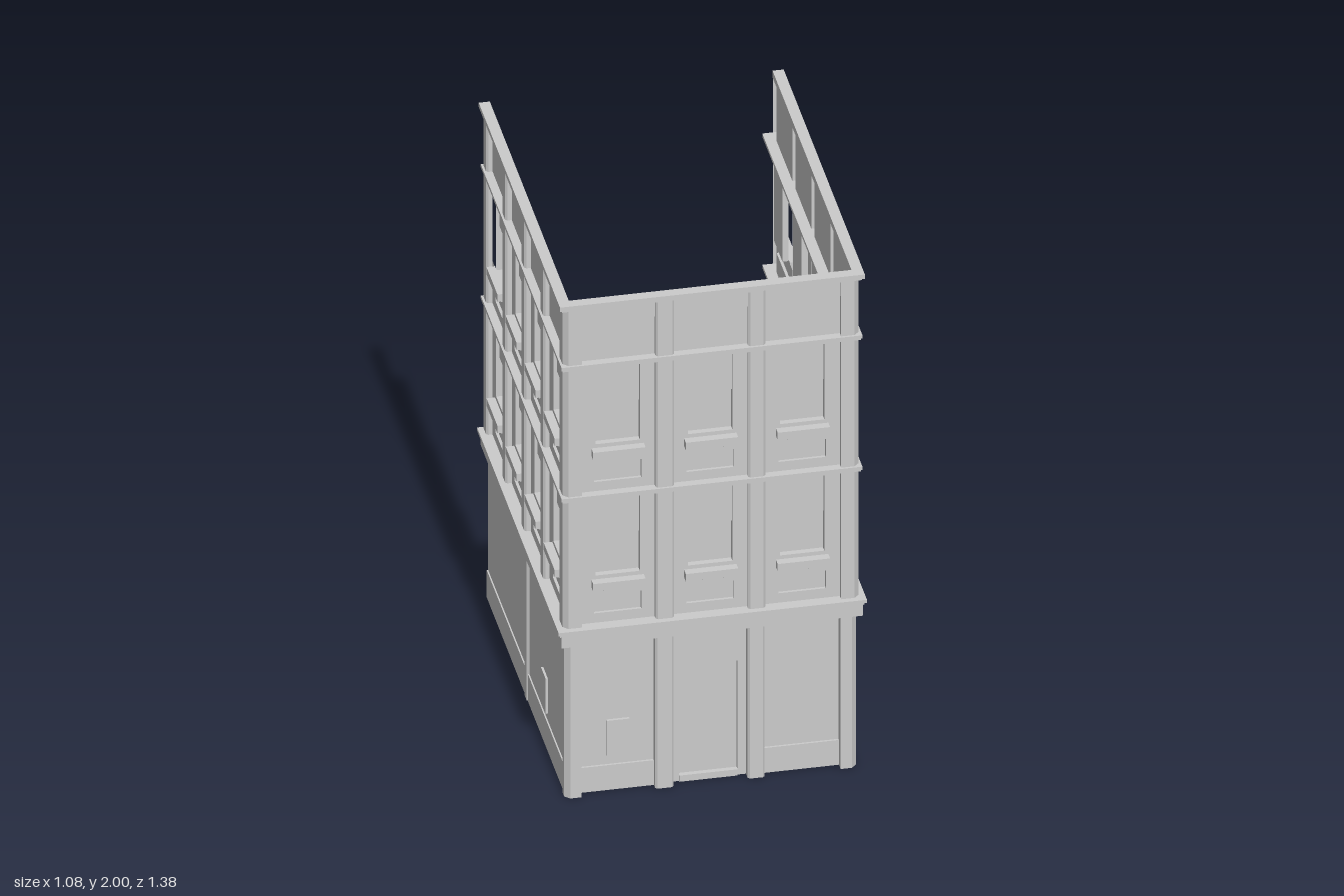
import * as THREE from 'three';

const mat = new THREE.MeshStandardMaterial({ color: 0xcccccc, flatShading: true, side: THREE.DoubleSide });
const D = 0.146;        // front offset relative to the side offset
const BACK = -0.69;     // open rear end
const BAY = -0.022;     // bay wall depth behind the pilaster faces

function add(parent, geo, name) {
  const m = new THREE.Mesh(geo, mat);
  m.name = name;
  parent.add(m);
  return m;
}

// box given by its limits; one face can be left open ('front' or 'back')
function box(parent, name, u0, u1, y0, y1, w0, w1, open) {
  const g = new THREE.BoxGeometry(u1 - u0, y1 - y0, w1 - w0);
  const idx = Array.from(g.index.array);
  if (open) {
    idx.splice(open === 'front' ? 24 : 30, 6);
    g.setIndex(idx);
    g.clearGroups();
  }
  g.translate((u0 + u1) / 2, (y0 + y1) / 2, (w0 + w1) / 2);
  return add(parent, g, name);
}

// vertical sheet following a plan polyline
function strip(parent, name, pts, y0, y1) {
  const pos = [];
  for (let i = 0; i < pts.length - 1; i++) {
    const [a, b] = pts[i], [c, d] = pts[i + 1];
    pos.push(a, y0, b, c, y0, d, c, y1, d, a, y0, b, c, y1, d, a, y1, b);
  }
  const g = new THREE.BufferGeometry();
  g.setAttribute('position', new THREE.Float32BufferAttribute(pos, 3));
  g.computeVertexNormals();
  return add(parent, g, name);
}

// wall sheet with rectangular holes [u0, u1, y0, y1]
function wall(parent, name, u0, u1, y0, y1, w, holes = []) {
  const rect = (P, a, b, c, d) => new P([[a, c], [b, c], [b, d], [a, d]].map(p => new THREE.Vector2(...p)));
  const s = rect(THREE.Shape, u0, u1, y0, y1);
  for (const h of holes) s.holes.push(rect(THREE.Path, ...h));
  return add(parent, new THREE.ShapeGeometry(s).translate(0, 0, w), name);
}

// U-shaped solid band around the three walls
function band(parent, name, d0, d1, y0, y1) {
  const s = new THREE.Shape([[-d1, BACK], [-d1, d1 + D], [d1, d1 + D], [d1, BACK],
    [d0, BACK], [d0, d0 + D], [-d0, d0 + D], [-d0, BACK]].map(([x, z]) => new THREE.Vector2(x, -z)));
  const g = new THREE.ExtrudeGeometry(s, { depth: y1 - y0, bevelEnabled: false });
  g.rotateX(-Math.PI / 2).translate(0, y0, 0);
  return add(parent, g, name);
}

function pilaster(parent, u0, u1, y0, y1, back, face) {
  const c = 0.007;
  strip(parent, 'pilaster', [[u0, back], [u0, face - c], [u0 + c, face], [u1 - c, face], [u1, face - c], [u1, back]], y0, y1);
}

// recessed sash window, sill with dentils, and sunk panel underneath
function windowUnit(parent, c, hw, base, tall) {
  const g = new THREE.Group();
  g.name = 'window';
  parent.add(g);
  const y0 = base + (tall ? 0.17 : 0.19), y1 = base + (tall ? 0.51 : 0.495), mid = base + 0.345;
  box(g, 'windowRecess', c - hw, c + hw, y0, y1, BAY - 0.022, BAY, 'front');
  box(g, 'upperSash', c - hw, c + hw, mid, y1, BAY - 0.022, BAY - 0.012, 'back');
  box(g, 'sill', c - 0.092, c + 0.092, base + 0.145, base + 0.175, BAY, 0.008);
  for (let i = -3; i <= 3; i++)
    box(g, 'dentil', c + i * 0.024 - 0.005, c + i * 0.024 + 0.005, base + 0.133, base + 0.145, BAY, BAY + 0.014);
  box(g, 'sunkPanel', c - 0.083, c + 0.083, base + 0.038, base + 0.11, BAY - 0.01, BAY, 'front');
}

// upper three storeys of one face; gap = index of the bay with missing wall beside its window
function upperFace(face, bays, hw, gap, blocks) {
  bays.forEach(([a, b], i) => {
    const c = (a + b) / 2;
    for (const base of [0.69, 1.22]) {
      const broken = base > 1 && i === gap;
      const holes = [[c - 0.083, c + 0.083, base + 0.038, base + 0.11]];
      if (!broken) holes.push([c - hw, c + hw, base + 0.19, base + 0.495]);
      wall(face, 'bayWall', a, b, base, base + (broken ? 0.17 : 0.51), BAY, holes);
      windowUnit(face, c, hw, base, broken);
    }
    wall(face, 'parapetWall', a, b, 1.75, 1.975, BAY);
    box(face, 'parapetHeader', a, b, 1.905, 1.975, BAY, BAY + 0.008, 'back');
    if (blocks) for (const o of [-0.055, 0.055])
      box(face, 'corniceBlock', c + o - 0.016, c + o + 0.016, 1.962, 1.975, BAY, 0.004);
  });
}

function frontFace() {
  const f = new THREE.Group();
  f.name = 'frontFace';
  f.position.z = 0.52 + D;
  const bays = [[-0.455, -0.195], [-0.13, 0.13], [0.19, 0.455]];
  upperFace(f, bays, 0.078, -1, false);
  // street level, set deeper
  const w = -0.045;
  for (const [a, b] of [[-0.195, -0.13], [0.13, 0.19]]) {
    pilaster(f, a, b, 0.69, 1.975, BAY, 0);
    pilaster(f, a, b, 0, 0.62, w, -0.01);
  }
  for (const [a, b] of [bays[0], bays[2]]) {
    wall(f, 'streetWall', a, b, 0, 0.675, w);
    box(f, 'plinth', a, b, 0, 0.1, w, w + 0.008, 'back');
  }
  wall(f, 'doorWall', ...bays[1], 0, 0.675, w, [[-0.105, 0.1, 0.025, 0.46]]);
  box(f, 'door', -0.105, 0.1, 0.025, 0.46, w - 0.012, w, 'front');
  box(f, 'doorStep', -0.105, 0.1, 0, 0.025, w, w + 0.006, 'back');
  box(f, 'wallHatch', -0.36, -0.28, 0.14, 0.28, w, w + 0.01, 'back');
  return f;
}

// side = 1 for +x, -1 for -x; z limits are listed front to back
function sideFace(side) {
  const f = new THREE.Group();
  f.name = side > 0 ? 'leftFace' : 'rightFace';
  f.position.x = side * 0.52;
  f.rotation.y = side * Math.PI / 2;
  const span = (a, b) => (side > 0 ? [-a, -b] : [b, a]);
  const bays = [[0.6, 0.33], [0.275, 0.01], [-0.045, -0.31], [-0.365, -0.635]].map(p => span(...p));
  upperFace(f, bays, 0.073, 3, true);
  for (const [a, b] of [[0.33, 0.275], [0.01, -0.045], [-0.31, -0.365], [-0.635, BACK]])
    pilaster(f, ...span(a, b), 0.69, 1.975, BAY, 0);
  // street level
  for (const p of [[0.61, 0.005], [-0.045, BACK]]) {
    const [a, b] = span(...p);
    wall(f, 'streetWall', a, b, 0, 0.675, -0.018);
    box(f, 'plinth', a, b, 0, 0.11, -0.018, -0.013, 'back');
  }
  pilaster(f, ...span(0.005, -0.045), 0, 0.62, -0.018, -0.01);
  if (side < 0) box(f, 'wallHatch', 0.24, 0.32, 0.14, 0.28, -0.018, -0.01, 'back');
  return f;
}

export function createModel() {
  const root = new THREE.Group();
  root.name = 'buildingShell';
  root.add(frontFace(), sideFace(1), sideFace(-1));

  // corner piers, chamfered
  const pier = (d, x0, frontZ, z0, sideX, y0, y1) => {
    const p = [[x0, frontZ], [x0, d + D], [d - 0.018, d + D], [d, d + D - 0.018], [d, z0], [sideX, z0]];
    strip(root, 'cornerPier', p, y0, y1);
    strip(root, 'cornerPier', p.map(([x, z]) => [-x, z]).reverse(), y0, y1);
  };
  pier(0.52, 0.455, 0.644, 0.6, 0.498, 0.69, 1.975);
  pier(0.512, 0.455, 0.621, 0.61, 0.502, 0, 0.62);

  // string courses and cornices
  band(root, 'streetFascia', 0.498, 0.529, 0.62, 0.667);
  band(root, 'streetMoulding', 0.48, 0.534, 0.667, 0.677);
  band(root, 'streetCornice', 0.46, 0.541, 0.677, 0.69);
  for (const y of [1.2, 1.73]) {
    band(root, 'ledgeMoulding', 0.475, 0.523, y, y + 0.008);
    band(root, 'ledge', 0.46, 0.528, y + 0.008, y + 0.021);
  }
  band(root, 'topMoulding', 0.496, 0.526, 1.973, 1.982);
  band(root, 'topCornice', 0.496, 0.535, 1.982, 2);
  return root;
}
